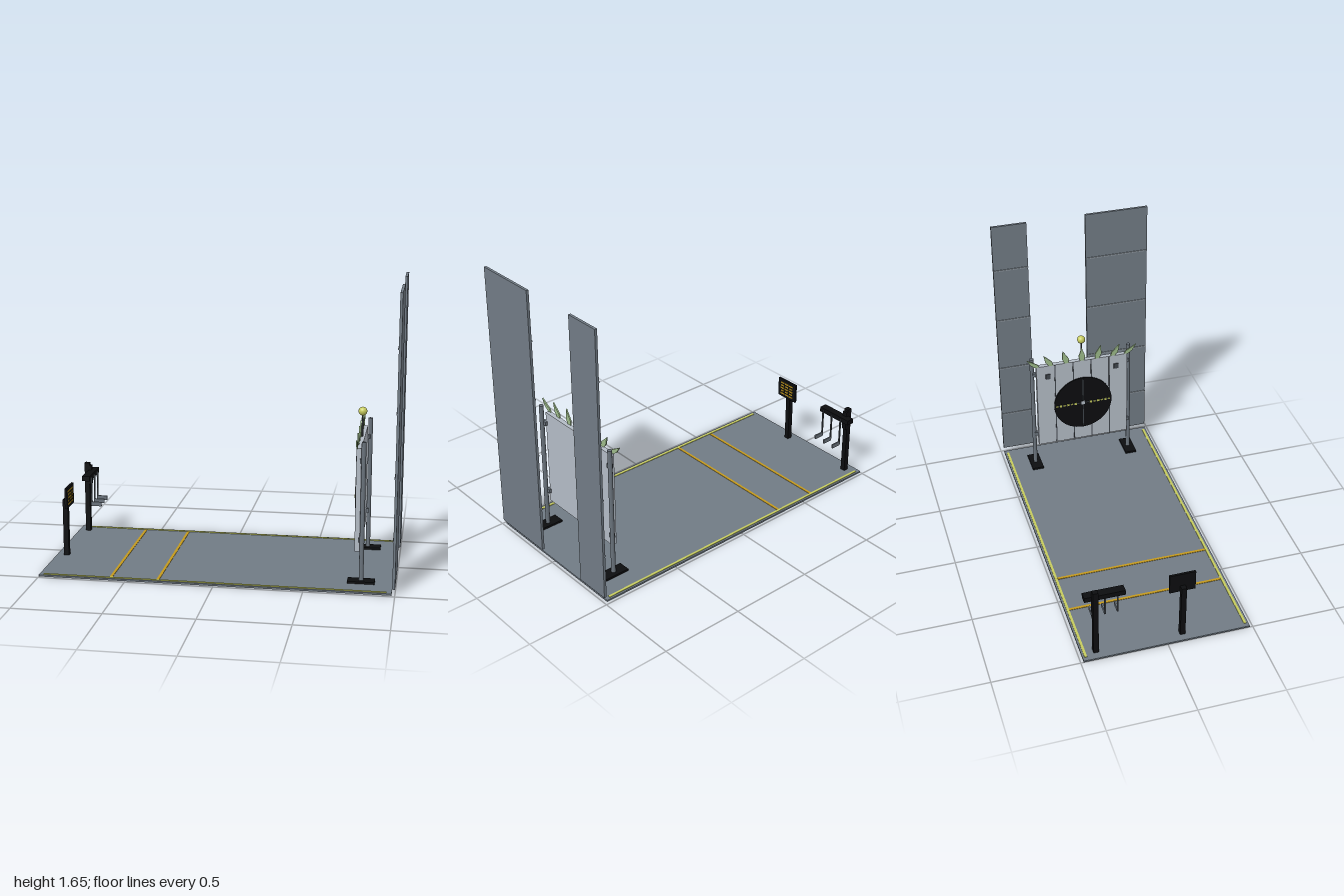
import * as THREE from 'three';

const mat = (name, color) => {
  const m = new THREE.MeshStandardMaterial({ color });
  m.name = name;
  return m;
};

export function createModel() {
  const root = new THREE.Group();
  root.name = 'targetRange';
  const slate = mat('slate', 0x717b85);
  const paleGrey = mat('paleGrey', 0xb4bcc6);
  const steel = mat('steel', 0x69727b);
  const black = mat('black', 0x0c0d0f);
  const lime = mat('limeYellow', 0xc6cb5e);
  const amber = mat('amber', 0xc49a1e);
  const green = mat('leafGreen', 0x9dbb8a);
  green.side = THREE.DoubleSide;
  const seamGrey = mat('seamGrey', 0x8d969e);
  const dark = mat('darkGrey', 0x40464c);

  const add = (name, geo, m, parent = root) => {
    const mesh = new THREE.Mesh(geo, m);
    mesh.name = name;
    parent.add(mesh);
    return mesh;
  };
  // Box given by its extents on each axis
  const box = (name, m, [x0, x1], [y0, y1], [z0, z1], parent = root) => {
    const mesh = add(name, new THREE.BoxGeometry(x1 - x0, y1 - y0, z1 - z0), m, parent);
    mesh.position.set((x0 + x1) / 2, (y0 + y1) / 2, (z0 + z1) / 2);
    return mesh;
  };
  const around = (c, w) => [c - w / 2, c + w / 2];
  const group = (name) => {
    const g = new THREE.Group();
    g.name = name;
    root.add(g);
    return g;
  };

  // Floor with painted lines
  box('floor', slate, [-1, 0.982], [0, 0.01], [-0.483, 0.483]);
  for (const s of [-1, 1])
    box('edgeLine', lime, [-0.975, 0.955], [0.01, 0.013], around(s * 0.464, 0.015));
  for (const x of [-0.587, -0.318])
    box('crossLine', amber, around(x, 0.016), [0.01, 0.0125], [-0.456, 0.456]);

  // Tall end walls with horizontal seams on the inner face
  for (const z of [[0.093, 0.483], [-0.483, -0.268]]) {
    const wall = group('endWall');
    box('wallPanel', slate, [0.985, 1], [0.035, 1.65], z, wall);
    for (const y of [0.305, 0.655, 1.005, 1.355])
      box('wallSeam', seamGrey, [0.981, 0.985], around(y, 0.008), z, wall);
  }

  // Target stand
  const stand = group('targetStand');
  for (const s of [-1, 1]) {
    box('standFoot', black, [0.73, 0.882], [0.01, 0.022], around(s * 0.312, 0.072), stand);
    const post = add('standPost', new THREE.CylinderGeometry(0.013, 0.013, 0.79, 12), steel, stand);
    post.position.set(0.806, 0.415, s * 0.312);
    box('postBracket', steel, [0.785, 0.806], around(0.7, 0.025), around(s * 0.295, 0.03), stand);
    box('postBracket', steel, [0.785, 0.806], around(0.25, 0.025), around(s * 0.295, 0.03), stand);
  }

  // Target board
  const board = group('targetBoard');
  box('boardPanel', paleGrey, [0.764, 0.792], [0.18, 0.768], [-0.292, 0.292], board);
  for (const z of [-0.175, -0.058, 0.058, 0.175])
    box('plankGap', dark, [0.761, 0.764], [0.18, 0.768], around(z, 0.006), board);
  for (const s of [-1, 1])
    box('cornerPlate', dark, [0.759, 0.764], around(0.69, 0.036), around(s * 0.22, 0.03), board);

  // Bullseye disc with cross lines and dashes
  const cy = 0.458;
  const disc = add('bullseyeDisc', new THREE.CylinderGeometry(0.187, 0.187, 0.008, 48), black, board);
  disc.rotation.z = Math.PI / 2;
  disc.position.set(0.758, cy, 0);
  box('verticalHair', dark, [0.752, 0.754], around(cy, 0.35), around(0, 0.005), board);
  box('horizontalHair', dark, [0.752, 0.754], around(cy, 0.005), around(0, 0.35), board);
  box('centreMark', paleGrey, [0.75, 0.754], around(cy, 0.024), around(0, 0.024), board);
  for (const s of [-1, 1])
    for (let i = 0; i < 6; i++)
      box('discDash', lime, [0.75, 0.754], around(cy, i % 2 ? 0.008 : 0.014), around(s * (0.05 + i * 0.024), 0.014), board);

  // Leaves fanning out along the top of the board
  const leaf = (z, lean, h) => {
    const s = new THREE.Shape();
    s.moveTo(-0.012, 0);
    s.lineTo(-0.021 + lean * 0.3, h * 0.35);
    s.lineTo(lean, h);
    s.lineTo(0.021 + lean * 0.3, h * 0.35);
    s.lineTo(0.012, 0);
    const mesh = add('leaf', new THREE.ExtrudeGeometry(s, { depth: 0.008, bevelEnabled: false }), green, board);
    mesh.rotation.y = -Math.PI / 2;
    mesh.position.set(0.772, 0.765, z);
  };
  leaf(0, 0, 0.095);
  for (const s of [-1, 1]) {
    leaf(s * 0.098, s * 0.024, 0.092);
    leaf(s * 0.198, s * 0.045, 0.078);
    leaf(s * 0.284, s * 0.066, 0.062);
  }

  // Ball on a rod above the board
  const rod = add('ballRod', new THREE.CylinderGeometry(0.005, 0.005, 0.14, 10), dark, board);
  rod.position.set(0.777, 0.83, 0);
  const ball = add('ball', new THREE.SphereGeometry(0.025, 24, 16), lime, board);
  ball.position.set(0.777, 0.915, 0);

  // Notice post with rows of dashes on its board
  const notice = group('noticePost');
  box('noticeUpright', black, [-0.957, -0.927], [0.01, 0.35], around(0.1, 0.03), notice);
  box('noticeBoard', black, [-0.927, -0.914], [0.31, 0.432], around(0.1, 0.15), notice);
  for (let r = 0; r < 5; r++)
    for (let c = 0; c < 3; c++)
      box('noticeDash', amber, [-0.914, -0.911], around(0.333 + r * 0.019, 0.009),
        around(0.1 + (c - 1) * 0.037, r % 2 ? 0.024 : 0.031), notice);

  // Hanging rack
  const rack = group('hangingRack');
  box('rackUpright', black, [-0.957, -0.927], [0.01, 0.445], around(-0.4, 0.03), rack);
  box('rackBar', black, [-0.931, -0.884], [0.372, 0.402], [-0.457, -0.225], rack);
  box('rackCap', black, [-0.931, -0.915], [0.31, 0.43], around(-0.4, 0.03), rack);
  for (const z of [-0.4, -0.327, -0.255]) {
    box('hangerRod', dark, around(-0.88, 0.008), [0.215, 0.39], around(z, 0.008), rack);
    box('hangerPlate', steel, [-0.882, -0.82], [0.21, 0.236], around(z, 0.009), rack);
  }
  return root;
}
